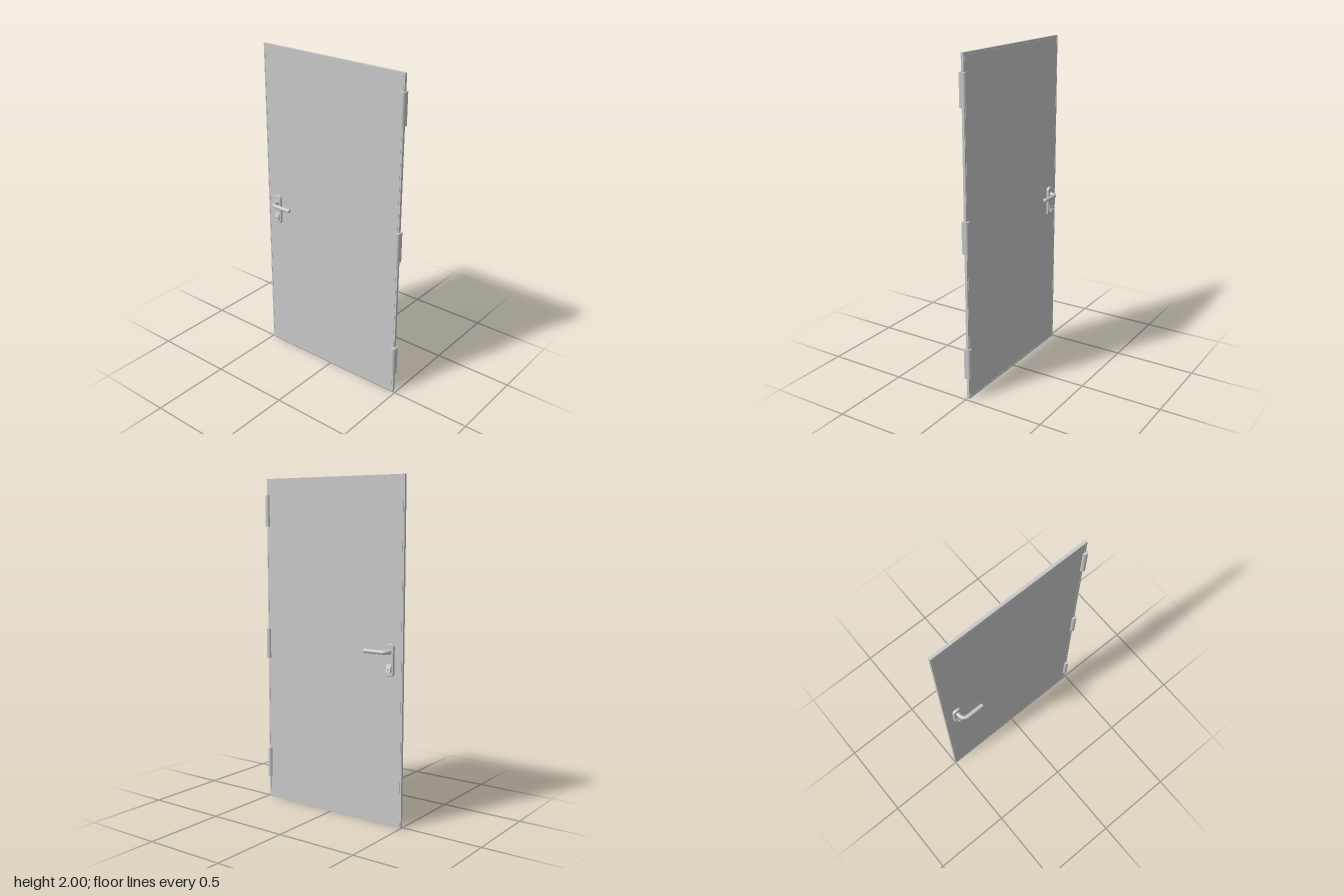
import * as THREE from 'three';

const steel = new THREE.MeshStandardMaterial({ color: 0xc8c8c8 });
steel.name = 'light grey steel';

const FRONT = 0.001, BACK = -0.015; // z of the two door faces
const LOCK_X = -0.416;

function add(parent, name, geometry, x = 0, y = 0, z = 0) {
  const mesh = new THREE.Mesh(geometry, steel);
  mesh.name = name;
  mesh.position.set(x, y, z);
  parent.add(mesh);
  return mesh;
}

// Rectangle with rounded corners, centred on the origin
function roundedRect(w, h, r) {
  const s = new THREE.Shape();
  s.absarc(w / 2 - r, h / 2 - r, r, 0, Math.PI / 2);
  s.absarc(-w / 2 + r, h / 2 - r, r, Math.PI / 2, Math.PI);
  s.absarc(-w / 2 + r, -h / 2 + r, r, Math.PI, Math.PI * 1.5);
  s.absarc(w / 2 - r, -h / 2 + r, r, Math.PI * 1.5, Math.PI * 2);
  s.closePath();
  return s;
}

// Plain rectangle path, centred on the origin
function rect(PathType, w, h) {
  return new PathType([[-1, -1], [1, -1], [1, 1], [-1, 1]].map(
    ([x, y]) => new THREE.Vector2(x * w / 2, y * h / 2)));
}

// Lever set standing on one door face; dir is +1 in front and -1 behind
function leverSet(name, dir, reach, bend) {
  const set = new THREE.Group();
  set.name = name;
  const facing = dir > 0 ? 0 : Math.PI;

  // Backplate with a chamfered rim
  const plate = new THREE.ExtrudeGeometry(roundedRect(0.047, 0.182, 0.019), {
    depth: 0.01, bevelThickness: 0.005, bevelSize: 0.004, bevelSegments: 2, curveSegments: 10,
  });
  add(set, 'backplate', plate, 0, -0.047, 0).rotation.y = facing;

  // Lock guard, sloping outward towards its lower end
  const guard = new THREE.ExtrudeGeometry(roundedRect(0.032, 0.05, 0.011), {
    depth: 0.016, bevelEnabled: false, curveSegments: 8,
  });
  const p = guard.attributes.position;
  for (let i = 0; i < p.count; i++) {
    const slope = THREE.MathUtils.clamp((0.025 - p.getY(i)) / 0.028, 0.1, 1);
    p.setZ(i, p.getZ(i) * slope);
  }
  guard.computeVertexNormals();
  add(set, 'lockGuard', guard, 0, -0.093, dir * 0.014).rotation.y = facing;
  const key = new THREE.CylinderGeometry(0.007, 0.007, 0.02, 16).rotateX(Math.PI / 2);
  add(set, 'keyCylinder', key, 0, -0.1, dir * 0.021);

  // Collar round the spindle
  const collar = new THREE.CylinderGeometry(0.013, 0.016, 0.01, 24).rotateX(Math.PI / 2 * dir);
  add(set, 'collar', collar, 0, 0, dir * 0.019);

  // Bent lever with a softly rounded tip
  const path = new THREE.CurvePath();
  const corner = new THREE.Vector3(0, 0, dir * reach);
  const start = new THREE.Vector3(0, 0, dir * (reach - bend));
  const end = new THREE.Vector3(bend, 0, dir * reach);
  const tip = new THREE.Vector3(0.141, 0, dir * reach);
  path.add(new THREE.LineCurve3(new THREE.Vector3(), start));
  path.add(new THREE.QuadraticBezierCurve3(start, corner, end));
  path.add(new THREE.LineCurve3(end, tip));
  add(set, 'lever', new THREE.TubeGeometry(path, 40, 0.012, 16));
  const cap = new THREE.SphereGeometry(0.012, 16, 12).scale(0.5, 1, 1);
  add(set, 'leverTip', cap, tip.x, 0, tip.z);

  set.position.set(LOCK_X, 1.02, dir > 0 ? FRONT : BACK);
  return set;
}

export function createModel() {
  const door = new THREE.Group();
  door.name = 'door';

  // Door leaf: core, flush rim and a sheet on each face, parted by a fine groove
  const leafX = -0.0055, mid = (FRONT + BACK) / 2, thick = FRONT - BACK;
  add(door, 'core', new THREE.BoxGeometry(0.98, 1.996, thick - 0.003), leafX, 1, mid);
  const rim = rect(THREE.Shape, 0.983, 2);
  rim.holes.push(rect(THREE.Path, 0.967, 1.98));
  add(door, 'rim', new THREE.ExtrudeGeometry(rim, { depth: thick, bevelEnabled: false }), leafX, 1, BACK);
  for (const [name, z] of [['frontSheet', FRONT - 0.001], ['backSheet', BACK + 0.001]]) {
    add(door, name, new THREE.BoxGeometry(0.963, 1.976, 0.002), leafX, 1, z);
  }

  // Three hinges, each a pair of overlapping knuckles
  for (const y of [0.226, 0.994, 1.807]) {
    const hinge = new THREE.Group();
    hinge.name = 'hinge';
    hinge.position.set(0.4805, y, 0);
    for (const z of [-0.013, 0.002]) {
      add(hinge, 'knuckle', new THREE.CylinderGeometry(0.0155, 0.0155, 0.187, 24), 0, 0, z);
    }
    door.add(hinge);
  }

  // Lever sets on both faces
  door.add(leverSet('frontLeverSet', 1, 0.064, 0.042));
  door.add(leverSet('backLeverSet', -1, 0.053, 0.034));
  return door;
}
